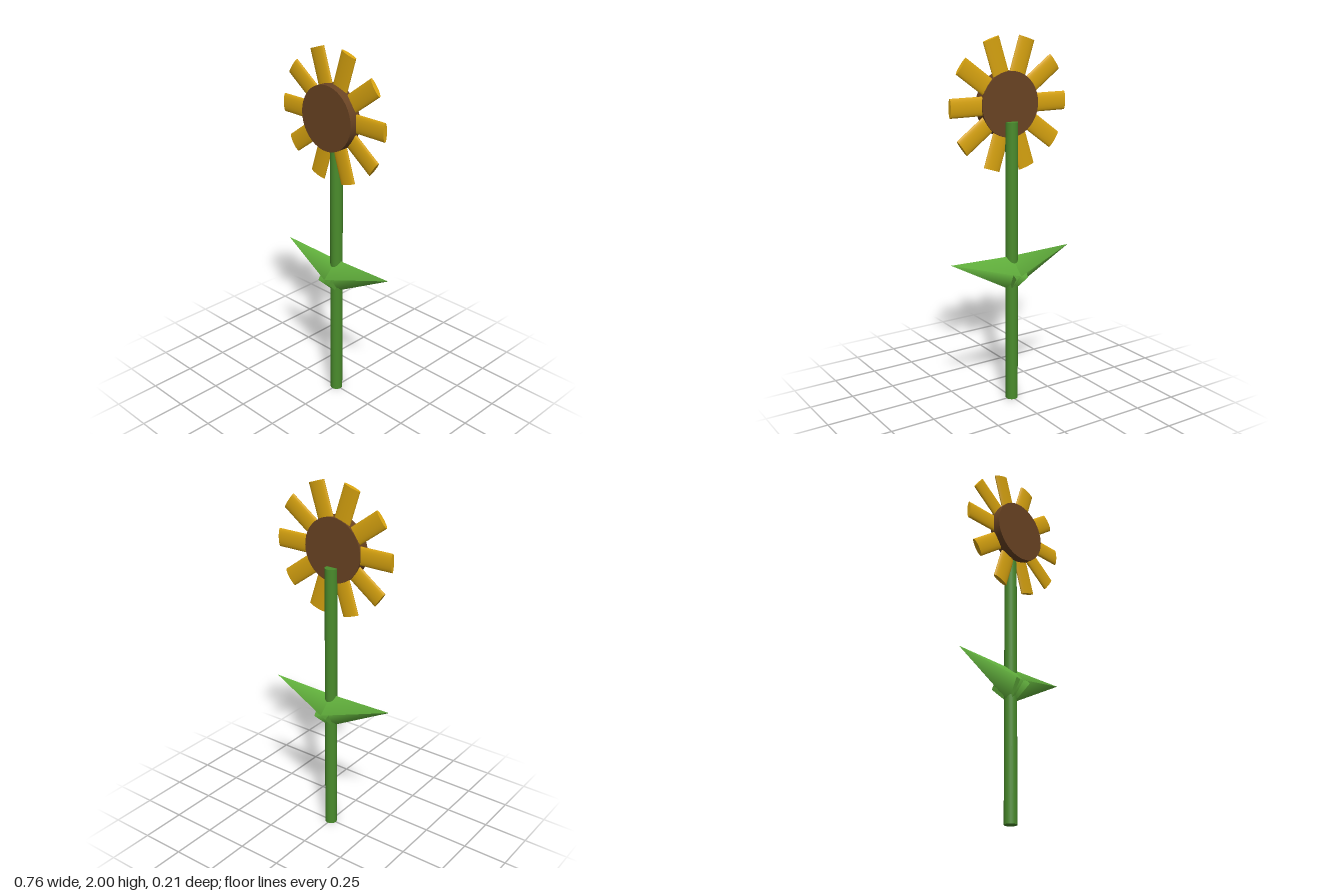
import * as THREE from 'three';

const mat = (name, color) => {
  const m = new THREE.MeshStandardMaterial({ color });
  m.name = name;
  return m;
};

export function createModel() {
  const flower = new THREE.Group();
  flower.name = 'sunflower';

  const stemGreen = mat('stem green', 0x4a8c2c);
  const leafGreen = mat('leaf green', 0x66b83f);
  const petalYellow = mat('petal yellow', 0xdaa510);
  const seedBrown = mat('seed brown', 0x6b4423);

  const add = (parent, name, geometry, material) => {
    const mesh = new THREE.Mesh(geometry, material);
    mesh.name = name;
    parent.add(mesh);
    return mesh;
  };

  // Straight round stem, ending behind the flower head
  add(flower, 'stem', new THREE.CylinderGeometry(0.034, 0.034, 1.56, 24), stemGreen)
    .position.y = 0.78;

  // Two four-sided cone leaves whose bases cross inside the stem
  const base = new THREE.Vector2(-0.037, 0.73);
  const tip = new THREE.Vector2(0.378, 0.84);
  const axis = tip.clone().sub(base);
  const leafGeometry = new THREE.ConeGeometry(0.103, axis.length(), 4);
  for (const side of [1, -1]) {
    const leaf = add(flower, side > 0 ? 'leftLeaf' : 'rightLeaf', leafGeometry, leafGreen);
    leaf.position.set(side * (base.x + tip.x) / 2, (base.y + tip.y) / 2, 0);
    leaf.rotation.z = side * (axis.angle() - Math.PI / 2);
  }

  // Flower head: seed disc facing forward
  const head = new THREE.Group();
  head.name = 'flowerHead';
  head.position.y = 1.65;
  flower.add(head);
  const disc = add(head, 'seedDisc', new THREE.CylinderGeometry(0.173, 0.173, 0.068, 40), seedBrown);
  disc.rotation.x = Math.PI / 2;
  disc.position.z = 0.042;

  // Ten petals: flattened cylinders radiating from the centre
  const petalGeometry = new THREE.CylinderGeometry(0.05, 0.05, 0.355, 20)
    .scale(1, 1, 0.25)
    .translate(0, 0.1775, 0.025);
  for (let i = 0; i < 10; i++) {
    add(head, 'petal', petalGeometry, petalYellow).rotation.z = (i + 0.5) * Math.PI / 5;
  }

  return flower;
}
